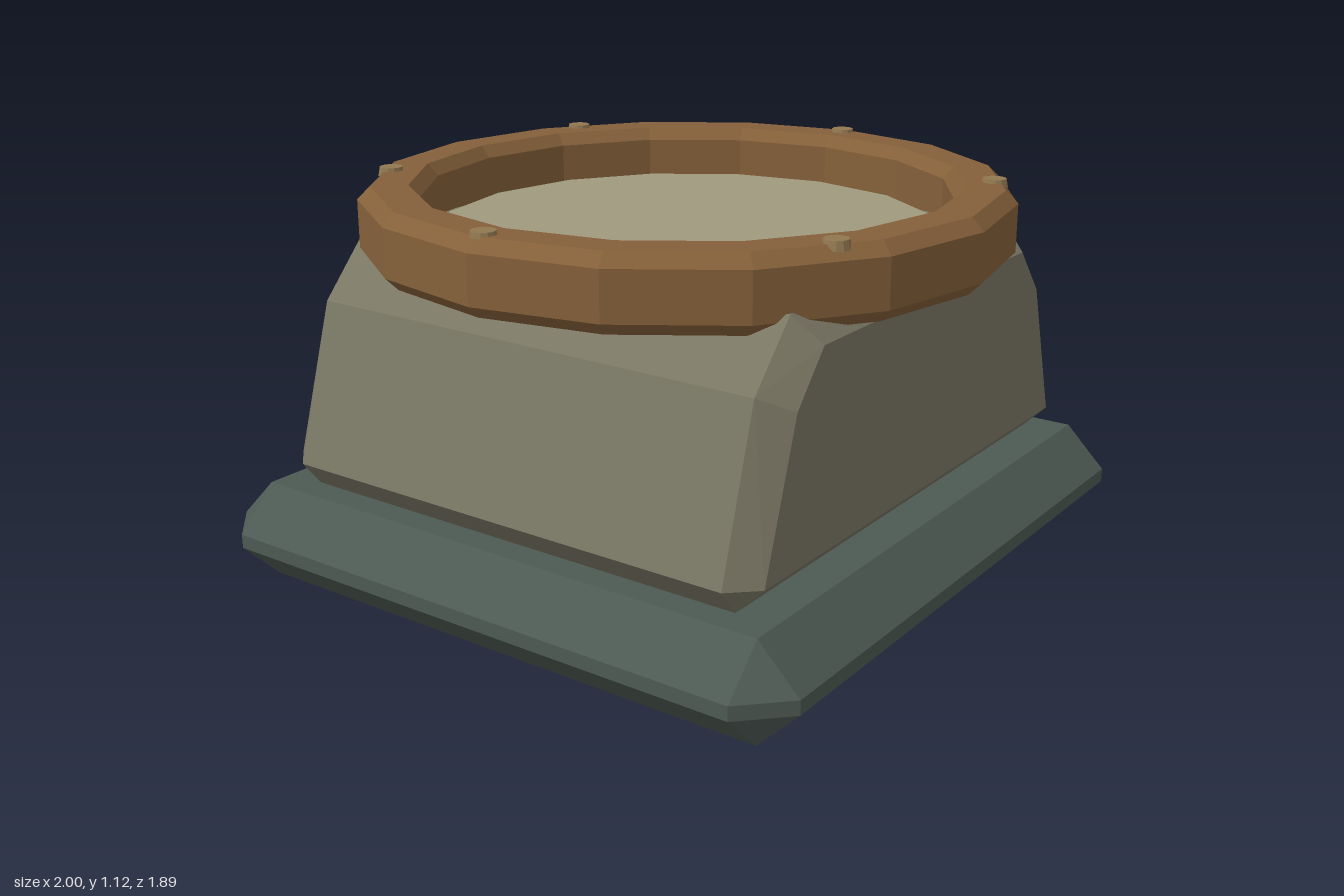
import * as THREE from 'three';
import { ConvexGeometry } from 'three/addons/geometries/ConvexGeometry.js';

const SIDES = 16;
const V = (x, y, z) => new THREE.Vector3(x, y, z);

function addMesh(parent, name, geometry, color) {
  const material = new THREE.MeshStandardMaterial({ color, flatShading: true });
  const mesh = new THREE.Mesh(geometry, material);
  mesh.name = name;
  parent.add(mesh);
  return mesh;
}

// Repeats half-profile points on both sides in x and z, then skins them
function mirroredHull(points) {
  const all = [];
  for (const [x, y, z] of points) {
    for (const sx of [-1, 1]) for (const sz of [-1, 1]) all.push(V(sx * x, y, sz * z));
  }
  return new ConvexGeometry(all);
}

function lathe(profile) {
  return new THREE.LatheGeometry(profile.map(([r, y]) => new THREE.Vector2(r, y)), SIDES);
}

export function createModel() {
  const model = new THREE.Group();
  model.name = 'pedestal';

  // Base slab, chamfered on every edge
  addMesh(model, 'baseSlab', mirroredHull([
    [0.88, 0, 0.825], [0.88, 0.28, 0.825],
    [1, 0.12, 0.825], [1, 0.16, 0.825],
    [0.88, 0.12, 0.945], [0.88, 0.16, 0.945],
  ]), 0x4d5a53);

  // Tapered body: wide middle section and smaller chamfered end faces
  addMesh(model, 'body', mirroredHull([
    [0.80, 0.28, 0.71], [0.86, 0.355, 0.71], [0.73, 0.80, 0.71], [0.58, 0.965, 0.71],
    [0.79, 0.355, 0.785], [0.66, 0.76, 0.785], [0.545, 0.895, 0.785],
  ]), 0x7a7764);

  // Plate inside the ring, open below
  addMesh(model, 'plate', lathe([
    [0.715, 0.89], [0.74, 0.915], [0.74, 0.95], [0.718, 0.975], [0, 0.975],
  ]), 0xa09a7e);

  // Faceted ring with chamfered edges
  addMesh(model, 'ring', lathe([
    [0.78, 0.91], [0.885, 0.91], [0.92, 0.945], [0.92, 1.08], [0.885, 1.115],
    [0.78, 1.115], [0.75, 1.08], [0.75, 0.945], [0.78, 0.91],
  ]), 0x85603a);

  // Six studs around the ring
  const studs = new THREE.Group();
  studs.name = 'studs';
  model.add(studs);
  const studGeometry = new THREE.CylinderGeometry(0.033, 0.038, 0.025, 12);
  for (let i = 0; i < 6; i++) {
    const a = (i * Math.PI) / 3;
    const stud = addMesh(studs, 'stud', studGeometry, 0x917750);
    stud.position.set(0.855 * Math.cos(a), 1.1125, 0.855 * Math.sin(a));
  }
  return model;
}
